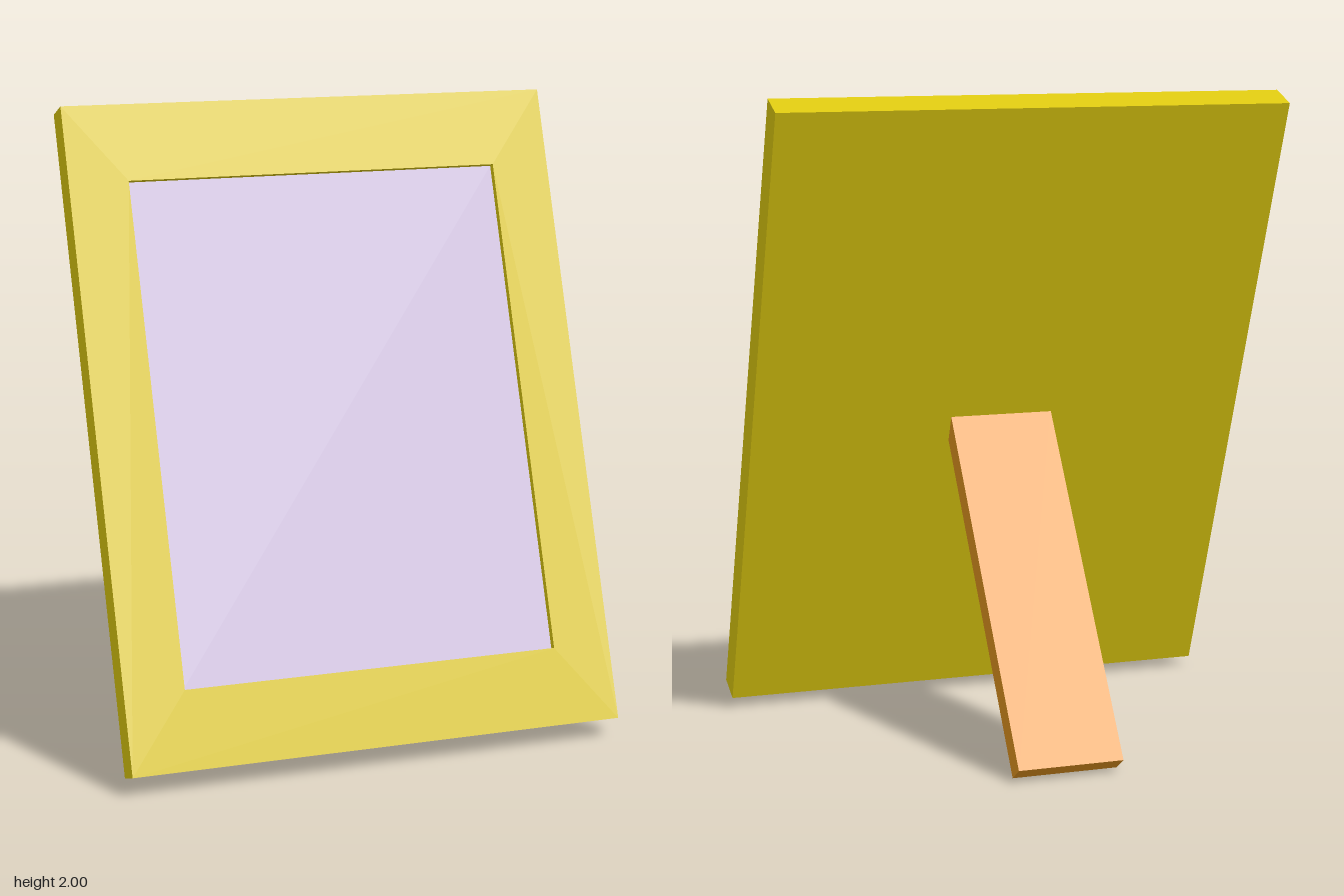
import * as THREE from 'three';

const material = (color) => new THREE.MeshStandardMaterial({ color, flatShading: true });

function addPart(parent, name, geometry, mat, x = 0, y = 0, z = 0) {
  const mesh = new THREE.Mesh(geometry, mat);
  mesh.name = name;
  mesh.position.set(x, y, z);
  parent.add(mesh);
  return mesh;
}

// Rectangle outline centred on x, running from y0 to y1
function rectangle(PathType, halfWidth, y0, y1) {
  return new PathType([
    [-halfWidth, y0], [halfWidth, y0], [halfWidth, y1], [-halfWidth, y1],
  ].map(([x, y]) => new THREE.Vector2(x, y)));
}

export function createModel() {
  const model = new THREE.Group();
  model.name = 'pictureFrame';
  model.rotation.y = THREE.MathUtils.degToRad(55);

  const yellow = material(0xdcc810);
  const lilac = material(0xcdbedd);
  const orange = material(0xdf921e);

  const halfWidth = 0.8, height = 2.067, thickness = 0.101, recess = 0.024;
  const sideBorder = 0.19, endBorder = 0.244;

  // Leaning panel, pivoting on its lower front edge
  const panel = new THREE.Group();
  panel.name = 'panel';
  panel.position.set(0, 0.067, 0.414);
  panel.rotation.x = THREE.MathUtils.degToRad(-20.75);
  model.add(panel);

  // Raised border around the picture
  const outline = rectangle(THREE.Shape, halfWidth, 0, height);
  outline.holes.push(rectangle(THREE.Path, halfWidth - sideBorder, endBorder, height - endBorder));
  const border = new THREE.ExtrudeGeometry(outline, { depth: recess, bevelEnabled: false });
  addPart(panel, 'border', border, yellow, 0, 0, -recess);

  // Solid backing
  const backDepth = thickness - recess;
  addPart(panel, 'backing', new THREE.BoxGeometry(halfWidth * 2, height, backDepth), yellow,
    0, height / 2, -recess - backDepth / 2);

  // Picture set into the recess
  addPart(panel, 'picture',
    new THREE.PlaneGeometry((halfWidth - sideBorder) * 2, height - endBorder * 2), lilac,
    0, height / 2, -recess + 0.001);

  // Rear prop, its upper end sunk into the backing
  const prop = new THREE.Group();
  prop.name = 'prop';
  prop.position.set(0, 0, -0.647);
  prop.rotation.x = THREE.MathUtils.degToRad(35);
  model.add(prop);
  const legLength = 1.165, legThickness = 0.07;
  addPart(prop, 'leg', new THREE.BoxGeometry(0.33, legLength, legThickness), orange,
    0, legLength / 2, -legThickness / 2);

  const root = new THREE.Group();
  root.add(model);
  return root;
}
